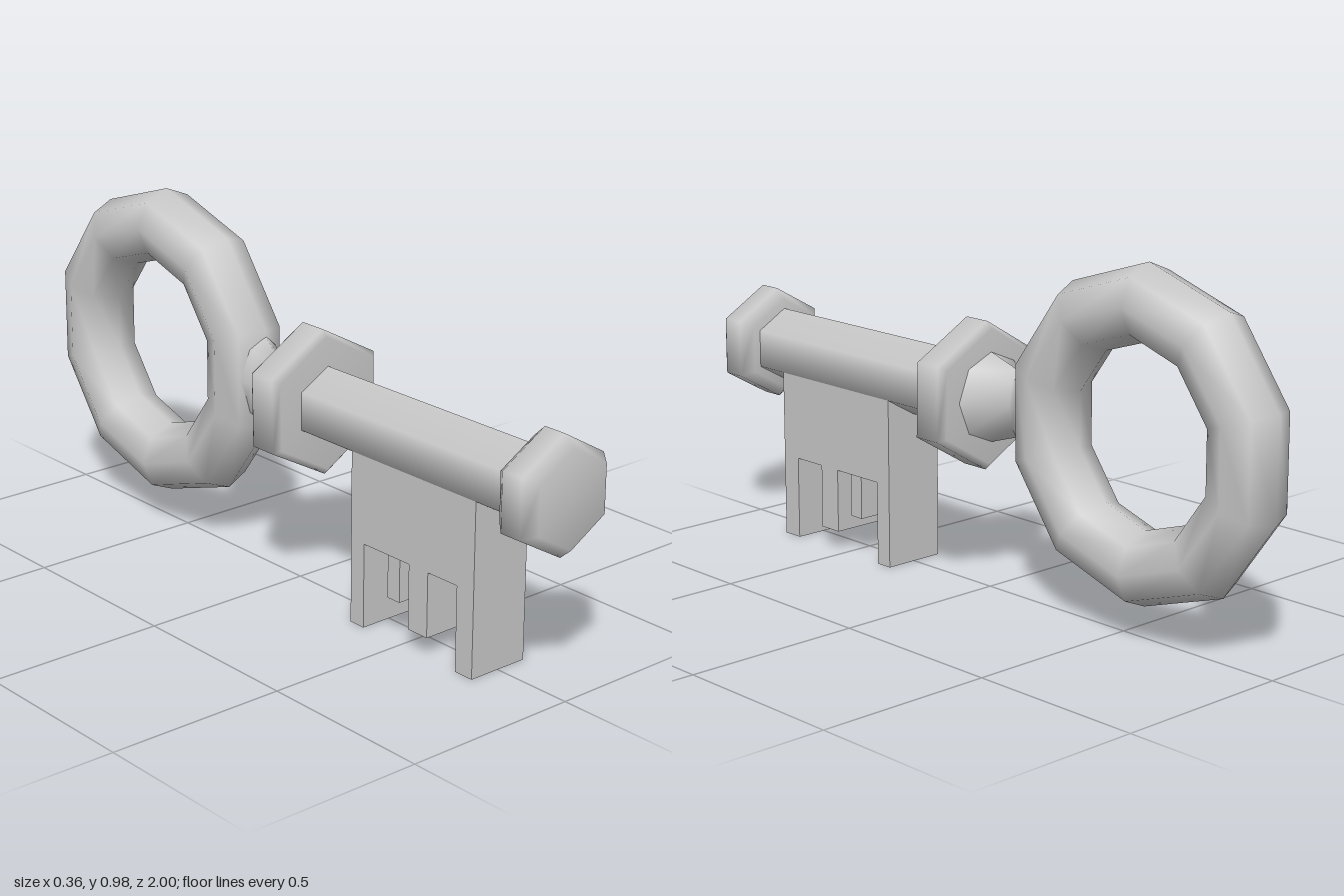
import * as THREE from 'three';

const AXIS_Y = 0.53; // height of the key's long axis
const material = new THREE.MeshStandardMaterial({ color: 0xcccccc });

export function createModel() {
  const key = new THREE.Group();
  key.name = 'key';

  const add = (name, geometry, y = 0, z = 0) => {
    const mesh = new THREE.Mesh(geometry, material);
    mesh.name = name;
    mesh.position.set(0, y, z);
    key.add(mesh);
    return mesh;
  };

  // Turned part along z; profile rows are [radius, z] from back to front
  const turned = (profile, sides = 6) => {
    const points = profile.map(([r, z]) => new THREE.Vector2(r, z));
    return new THREE.LatheGeometry(points, sides).rotateX(Math.PI / 2);
  };

  // Six-sided shaft, tip and collar
  add('shaft', turned([[0.105, 0.05], [0.105, 0.92]]), AXIS_Y);
  add('tip', turned([
    [0, 0.868], [0.13, 0.868], [0.16, 0.9], [0.16, 0.965], [0.13, 1], [0, 1],
  ]), AXIS_Y);
  const collar = add('collar', turned([
    [0, -0.005], [0.185, -0.005], [0.203, 0.015], [0.203, 0.095], [0.185, 0.112], [0, 0.112],
  ]), AXIS_Y);
  collar.rotation.z = 0.02;

  // Neck pinched sideways where it meets the bow: rows are [half height, z, half width]
  const neckRows = [
    [0.11, -0.235, 0.09], [0.128, -0.175, 0.07], [0.125, -0.147, 0.053],
    [0.09, -0.11, 0.035], [0.125, 0, 0.12],
  ];
  const neck = turned(neckRows, 8);
  const pos = neck.attributes.position;
  for (let i = 0; i < pos.count; i++) {
    const [halfHeight, , halfWidth] = neckRows[i % neckRows.length];
    pos.setX(i, pos.getX(i) * halfWidth / halfHeight);
  }
  neck.computeVertexNormals();
  add('neck', neck, AXIS_Y);

  // Ten-sided ring of the bow
  const ring = new THREE.TorusGeometry(0.345, 0.101, 8, 10);
  ring.rotateZ(Math.PI / 10).rotateY(Math.PI / 2).scale(1, 1, 1.01);
  add('bow', ring, AXIS_Y, -0.571);

  // Slab drawn in the z-y plane and given a thickness across x
  const slab = (z0, z1, y0, y1, halfWidth) =>
    new THREE.BoxGeometry(halfWidth * 2, y1 - y0, z1 - z0)
      .translate(0, (y0 + y1) / 2, (z0 + z1) / 2);

  // Bit with its two long outer teeth and a middle tooth in one outline
  const outline = [
    [0.31, 0.53], [0.31, 0], [0.36, 0], [0.36, 0.235], [0.53, 0.235], [0.53, 0.055],
    [0.6, 0.055], [0.6, 0.235], [0.705, 0.235], [0.705, 0], [0.765, 0], [0.765, 0.53],
  ].map(([z, y]) => new THREE.Vector2(-z, y));
  const bit = new THREE.ExtrudeGeometry(new THREE.Shape(outline), { depth: 0.181, bevelEnabled: false });
  bit.translate(0, 0, -0.0905).rotateY(Math.PI / 2);
  add('bit', bit);

  // Short, slightly narrower tooth
  add('shortTooth', slab(0.44, 0.485, 0.11, 0.3, 0.08));

  return key;
}
